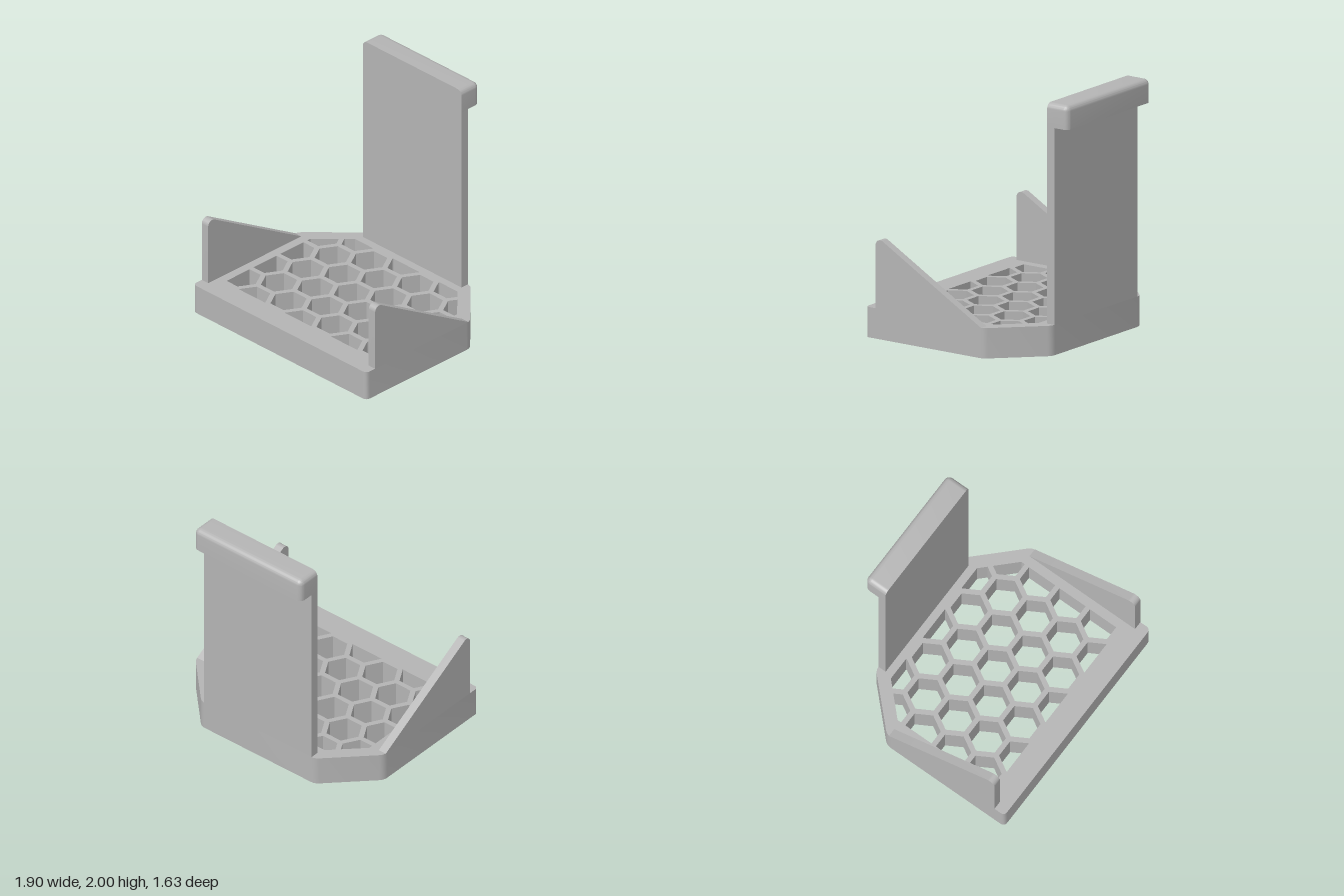
import * as THREE from 'three';
import { toCreasedNormals } from 'three/addons/utils/BufferGeometryUtils.js';
import { RoundedBoxGeometry } from 'three/addons/geometries/RoundedBoxGeometry.js';

const BASE_H = 0.242;
const grey = new THREE.MeshStandardMaterial({ color: 0xb4b4b4 });
grey.name = 'grey plastic';

function addMesh(group, name, geometry) {
  const mesh = new THREE.Mesh(toCreasedNormals(geometry, 0.5), grey);
  mesh.name = name;
  group.add(mesh);
  return mesh;
}

// Closed outline with every corner softened by the tangent length t
function softShape(points, t) {
  const shape = new THREE.Shape();
  points.forEach((p, i) => {
    const prev = points[(i + points.length - 1) % points.length];
    const next = points[(i + 1) % points.length];
    const a = p.clone().add(prev.clone().sub(p).setLength(t));
    const b = p.clone().add(next.clone().sub(p).setLength(t));
    if (i === 0) shape.moveTo(a.x, a.y);
    else shape.lineTo(a.x, a.y);
    shape.quadraticCurveTo(p.x, p.y, b.x, b.y);
  });
  shape.closePath();
  return shape;
}

// Keep the part of a polygon where nx*x + ny*y <= d
function clip(poly, [nx, ny, d]) {
  const out = [];
  poly.forEach((p, i) => {
    const q = poly[(i + 1) % poly.length];
    const dp = nx * p.x + ny * p.y - d;
    const dq = nx * q.x + ny * q.y - d;
    if (dp <= 0) out.push(p);
    if (dp * dq < 0) out.push(p.clone().lerp(q, dp / (dp - dq)));
  });
  return out;
}

// Base plan, drawn with y = -z
function baseGeometry() {
  const half = [[0.95, -0.815], [0.95, 0.31], [0.57, 0.692]];
  const outline = [...half, ...half.map(([x, y]) => [-x, y]).reverse()];
  const shape = softShape(outline.map(([x, y]) => new THREE.Vector2(x, y)), 0.04);

  // Honeycomb openings, trimmed by the rim
  const rim = [[1, 0, 0.805], [-1, 0, 0.805], [0, -1, 0.617], [0, 1, 0.557], [1, 1, 1.118], [-1, 1, 1.118]];
  const pitch = 0.2915;
  const radius = 0.1445;
  for (let col = -3; col <= 3; col++) {
    for (let row = -4; row <= 4; row++) {
      const cx = col * pitch * Math.sqrt(3) / 2;
      const cy = -0.032 + (row + (col % 2 ? 0.5 : 0)) * pitch;
      let hex = [];
      for (let k = 0; k < 6; k++) {
        const a = k * Math.PI / 3;
        hex.push(new THREE.Vector2(cx + radius * Math.cos(a), cy + radius * Math.sin(a)));
      }
      for (const edge of rim) hex = clip(hex, edge);
      if (hex.length > 2 && Math.abs(THREE.ShapeUtils.area(hex)) > 0.0005) shape.holes.push(new THREE.Path(hex));
    }
  }
  const geo = new THREE.ExtrudeGeometry(shape, { depth: BASE_H, bevelEnabled: false, curveSegments: 6 });
  return geo.rotateX(-Math.PI / 2);
}

// Sloping side wall, profile drawn in (z, y) and extruded along x
function wallGeometry() {
  const r = 0.045;
  const shape = new THREE.Shape();
  shape.moveTo(-0.29, BASE_H);
  shape.lineTo(0.72, BASE_H);
  shape.absarc(0.72 - r, 0.745, r, 0, Math.PI * 2 / 3, false);
  shape.closePath();
  const geo = new THREE.ExtrudeGeometry(shape, { depth: 0.07, bevelEnabled: false, curveSegments: 10 });
  return geo.rotateY(-Math.PI / 2).translate(0.035, 0, 0);
}

// Hook bar: rounded on the top, back and ends, flat in front and underneath
function hookGeometry() {
  const r = 0.045, front = -0.622, back = -0.818, bottom = 1.81, top = 2;
  const h = top - bottom + r;
  const d = front - back + r;
  const geo = new RoundedBoxGeometry(1.08, h, d, 5, r);
  geo.translate(0, top - h / 2, back + d / 2);
  const pos = geo.attributes.position;
  for (let i = 0; i < pos.count; i++) {
    pos.setY(i, Math.max(pos.getY(i), bottom));
    pos.setZ(i, Math.min(pos.getZ(i), front));
  }
  return geo;
}

export function createModel() {
  const model = new THREE.Group();
  model.name = 'honeycomb holder';

  addMesh(model, 'honeycombBase', baseGeometry());

  for (const [name, side] of [['leftWall', 1], ['rightWall', -1]]) {
    addMesh(model, name, wallGeometry()).position.x = side * 0.915;
  }

  // Upright back plate with the hook on top
  const plate = new THREE.BoxGeometry(1.08, 1.81 - BASE_H, 0.07);
  addMesh(model, 'backPlate', plate).position.set(0, (1.81 + BASE_H) / 2, -0.657);
  addMesh(model, 'hookBar', hookGeometry());

  return model;
}
